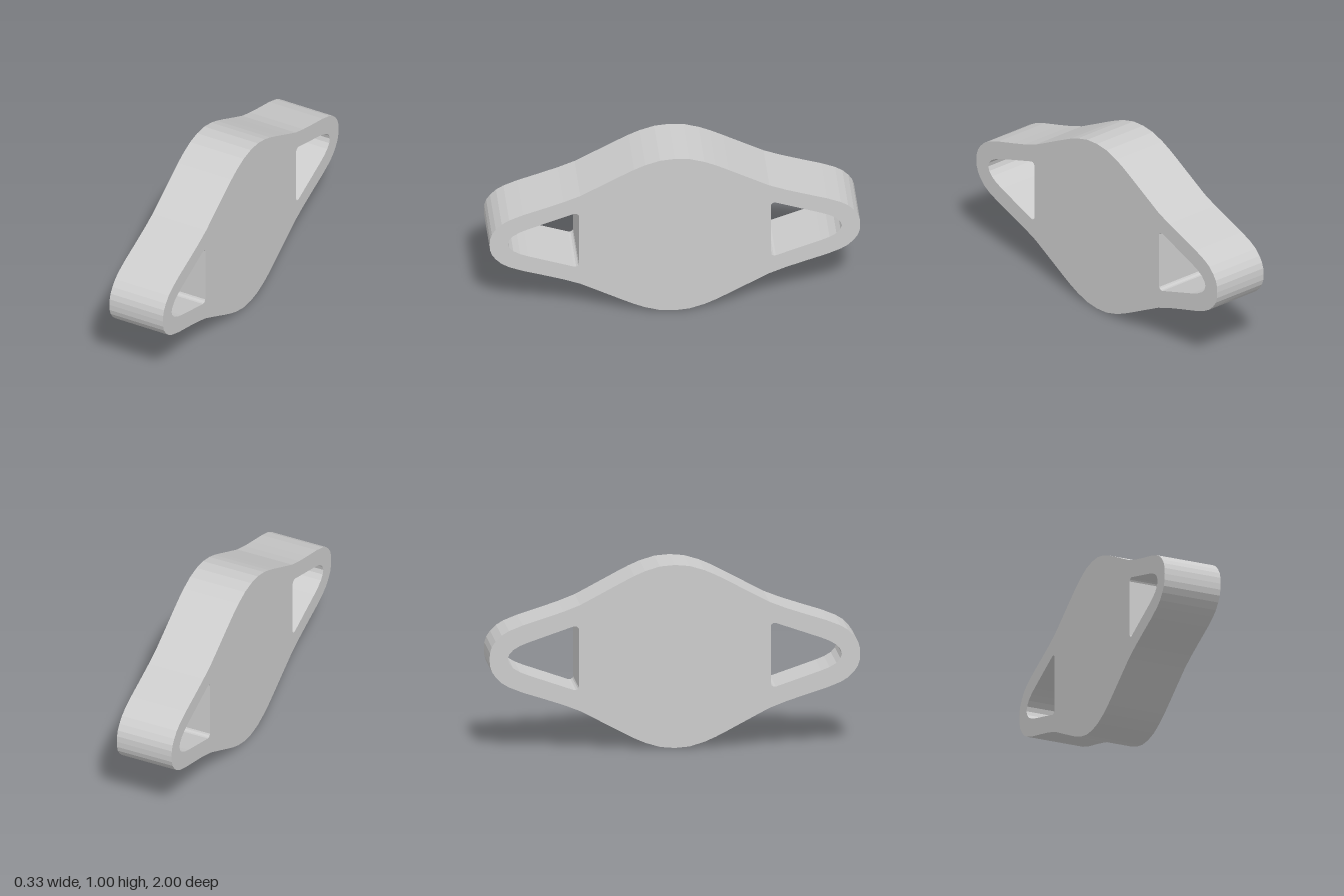
import * as THREE from 'three';

// One quarter of the outer profile as (z, height from centre), crown to tip
const OUTER = [
  [0, 0.5], [0.08, 0.493], [0.16, 0.469], [0.22, 0.443], [0.29, 0.407], [0.41, 0.343],
  [0.51, 0.29], [0.6, 0.255], [0.7, 0.222], [0.82, 0.184], [0.895, 0.154],
  [0.935, 0.13], [0.967, 0.098], [0.988, 0.067], [0.998, 0.035], [1, 0],
];

// Upper half of one strap slot, inner wall to tip
const SLOT = [
  [0.518, 0.15], [0.518, 0.16], [0.523, 0.168], [0.533, 0.174], [0.545, 0.174],
  [0.79, 0.09], [0.835, 0.072], [0.872, 0.05], [0.894, 0.025], [0.902, 0],
];

const WIDTH = 0.326;
const toPoints = (list) => list.map(([z, y]) => new THREE.Vector2(z, y));
const flip = (list, sz, sy) => list.map(([z, y]) => [z * sz, y * sy]);

export function createModel() {
  const group = new THREE.Group();
  group.name = 'strapBracket';
  const grey = new THREE.MeshStandardMaterial({ color: 0xcccccc, flatShading: true });
  grey.name = 'grey';

  // Mirror the quarter profile into the full outline, wound counter-clockwise
  const right = [...OUTER, ...flip(OUTER.slice(0, -1), 1, -1).reverse()];
  const left = flip(right.slice(1, -1), -1, 1).reverse();
  const shape = new THREE.Shape(toPoints([...right, ...left].reverse()));

  // Slots at both ends, wound clockwise so their walls face inwards
  const slot = [...SLOT, ...flip(SLOT.slice(0, -1), 1, -1).reverse()];
  const mirrored = flip(slot, -1, 1).reverse();
  for (const outline of [slot, mirrored]) {
    shape.holes.push(new THREE.Path(toPoints(outline)));
  }

  // Extrude across the width and stand it up along z
  const geometry = new THREE.ExtrudeGeometry(shape, { depth: WIDTH, bevelEnabled: false });
  geometry.translate(0, 0.5, -WIDTH / 2);
  geometry.rotateY(Math.PI / 2);

  const body = new THREE.Mesh(geometry, grey);
  body.name = 'slottedBody';
  group.add(body);
  return group;
}
